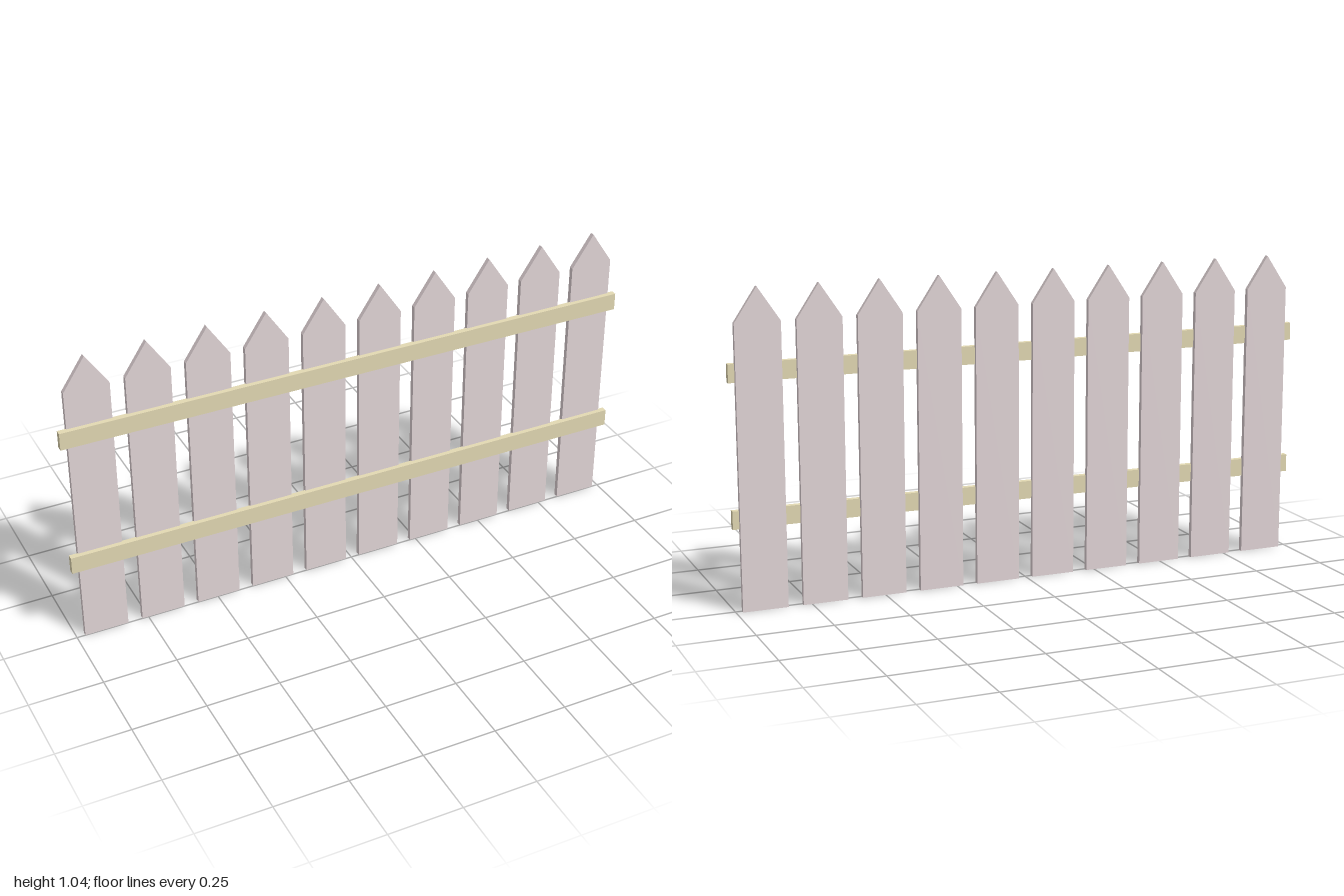
import * as THREE from 'three';

const HALF = 0.075, THICK = 0.016, SHOULDER = 0.93, TIP = 1.042;

// Flat board with a pointed top, its front face on z = 0
function picketGeometry() {
  const outline = new THREE.Shape([
    [-HALF, 0], [HALF, 0], [HALF, SHOULDER], [0, TIP], [-HALF, SHOULDER],
  ].map(([x, y]) => new THREE.Vector2(x, y)));
  return new THREE.ExtrudeGeometry(outline, { depth: THICK, bevelEnabled: false })
    .translate(0, 0, -THICK);
}

export function createModel() {
  const fence = new THREE.Group();
  fence.name = 'picketFence';
  const picketMaterial = new THREE.MeshStandardMaterial({ color: 0xe3d6d8, flatShading: true });
  const railMaterial = new THREE.MeshStandardMaterial({ color: 0xe3d9b3, flatShading: true });

  // Ten evenly spaced pickets
  const picket = picketGeometry();
  for (let i = 0; i < 10; i++) {
    const mesh = new THREE.Mesh(picket, picketMaterial);
    mesh.name = `picket${i + 1}`;
    mesh.position.x = -0.896 + 0.2 * i;
    fence.add(mesh);
  }

  // Two rails across the front, let slightly into the pickets
  const rail = new THREE.BoxGeometry(2, 0.06, 0.02);
  for (const [name, y] of [['lowerRail', 0.301], ['upperRail', 0.772]]) {
    const mesh = new THREE.Mesh(rail, railMaterial);
    mesh.name = name;
    mesh.position.set(0, y, 0.006);
    fence.add(mesh);
  }
  return fence;
}
